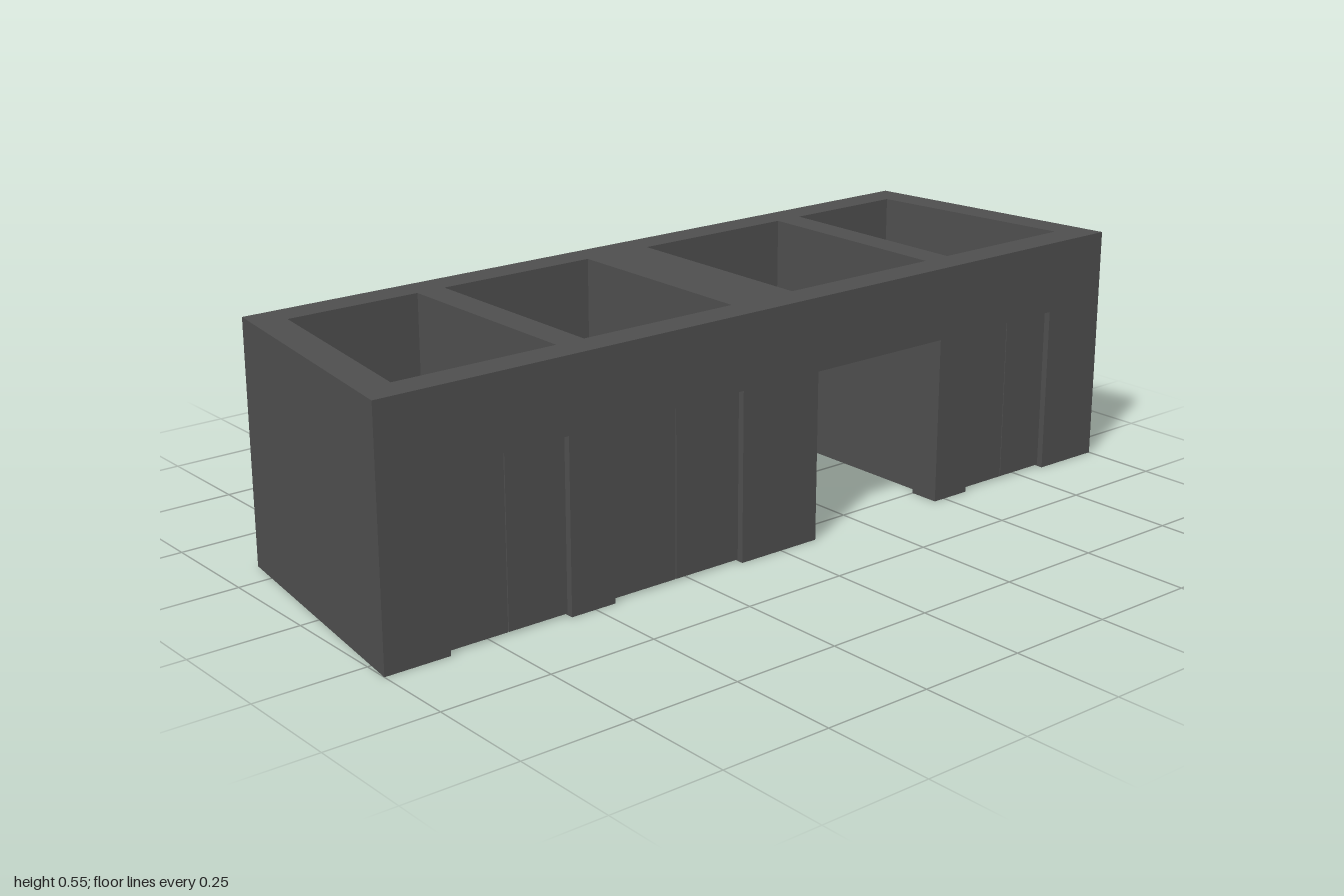
import * as THREE from 'three';

const HEIGHT = 0.55, DOOR_HEIGHT = 0.385;

// Side walls lean slightly in plan, so x depends on z
const outerRight = z => 0.3175 - 0.0075 * z;
const outerLeft = z => -0.319 - 0.0075 * z;
const innerRight = z => 0.246 - 0.006 * z;
const innerLeft = z => -0.248 - 0.006 * z;

// Rooms from front to back: z of the front wall (left, right end), back wall, doorway
const rooms = [
  { front: [0.848, 0.915], back: [0.535, 0.535], door: [0.85, 0.56], leaves: true },
  { front: [0.467, 0.467], back: [0.083, 0.083], door: [0.45, 0.11], leaves: true },
  { front: [-0.086, -0.086], back: [-0.488, -0.488], door: [-0.10, -0.47], leaves: false },
  { front: [-0.556, -0.556], back: [-0.852, -0.918], door: [-0.57, -0.83], leaves: true },
];

const point = (x, z) => new THREE.Vector2(x, -z);
const on = (side, z) => point(side(z), z);

// Extrude a floor plan upwards from y0 to y1
function extrudePlan(shape, y0, y1) {
  const geometry = new THREE.ExtrudeGeometry(shape, { depth: y1 - y0, bevelEnabled: false });
  geometry.rotateX(-Math.PI / 2);
  geometry.translate(0, y0, 0);
  return geometry;
}

const roomCorners = r => [
  on(innerRight, r.front[1]), on(innerLeft, r.front[0]),
  on(innerLeft, r.back[0]), on(innerRight, r.back[1]),
];

export function createModel() {
  const model = new THREE.Group();
  model.name = 'roomBlock';
  const concrete = new THREE.MeshStandardMaterial({ color: 0x4e4e4e });
  concrete.name = 'dark grey';

  const add = (name, geometry) => {
    const mesh = new THREE.Mesh(geometry, concrete);
    mesh.name = name;
    model.add(mesh);
  };

  // Lower walls: one outline that runs in and out of every doorway
  const frontLeft = on(outerLeft, 0.912), backLeft = on(outerLeft, -0.915);
  const frontRight = on(outerRight, 1), backRight = on(outerRight, -1);
  const outline = [frontLeft, frontRight];
  for (const r of rooms) {
    const [d0, d1] = r.door;
    outline.push(on(outerRight, d0), on(innerRight, d0), ...roomCorners(r),
      on(innerRight, d1), on(outerRight, d1));
  }
  outline.push(backRight, backLeft);
  add('lowerWalls', extrudePlan(new THREE.Shape(outline), 0, DOOR_HEIGHT));

  // Upper walls: closed ring with four open rooms
  const ring = new THREE.Shape([frontLeft, frontRight, backRight, backLeft]);
  for (const r of rooms) ring.holes.push(new THREE.Path(roomCorners(r)));
  add('upperWalls', extrudePlan(ring, DOOR_HEIGHT, HEIGHT));

  // Pairs of door leaves, slightly recessed in their doorways
  const gap = 0.001, recess = 0.014, thickness = 0.03;
  for (const r of rooms.filter(room => room.leaves)) {
    const [d0, d1] = r.door, middle = (d0 + d1) / 2;
    for (const [a, b] of [[d0, middle], [middle, d1]]) {
      const z0 = a - gap, z1 = b + gap;
      const face = z => outerRight(z) - recess;
      const leaf = new THREE.Shape([
        point(face(z0) - thickness, z0), point(face(z0), z0),
        point(face(z1), z1), point(face(z1) - thickness, z1),
      ]);
      add('doorLeaf', extrudePlan(leaf, 0.004, DOOR_HEIGHT - 0.003));
    }
  }
  return model;
}
